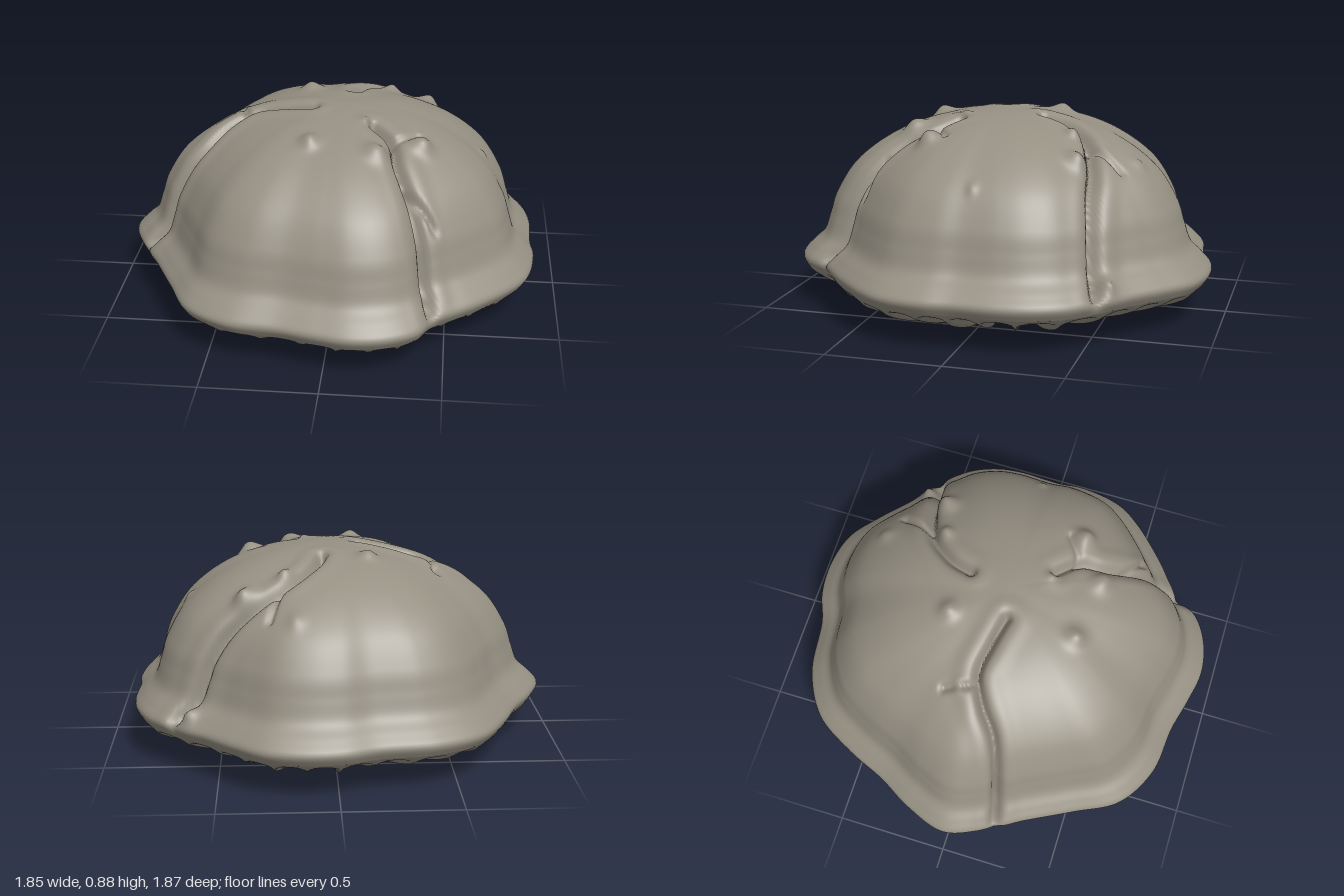
import * as THREE from 'three';

const SEG = 400, TAU = Math.PI * 2;
const smooth = THREE.MathUtils.smoothstep;
const gauss = (d, w) => Math.exp(-(d * d) / (w * w));

// Wavy rim outline as [x, z]
const OUTLINE = [
  [0.875, 0], [0.885, 0.13], [0.85, 0.32], [0.78, 0.43], [0.62, 0.59], [0.45, 0.73], [0.39, 0.83],
  [0.27, 0.9], [0.125, 0.925], [-0.02, 0.9], [-0.18, 0.86], [-0.4, 0.83], [-0.585, 0.72],
  [-0.69, 0.53], [-0.8, 0.32], [-0.87, 0.2], [-0.95, 0], [-0.89, -0.19], [-0.8, -0.35],
  [-0.72, -0.53], [-0.6, -0.72], [-0.41, -0.83], [-0.16, -0.87], [-0.02, -0.92], [0.14, -0.93],
  [0.3, -0.89], [0.43, -0.79], [0.56, -0.67], [0.68, -0.575], [0.8, -0.45], [0.86, -0.32], [0.88, -0.19],
];

// Cracks as [x, z] paths from the crown to the rim, with side branches
const CRACKS = [
  { path: [[-0.12, 0.04], [-0.25, 0.01], [-0.38, -0.01], [-0.5, 0.05], [-0.6, 0.13], [-0.72, 0.18], [-0.9, 0.22]], depth: 0.05, width: 0.019 },
  { path: [[0.05, -0.18], [0.09, -0.29], [0.19, -0.4], [0.35, -0.465], [0.5, -0.5], [0.7, -0.56]], depth: 0.05, width: 0.022 },
  { path: [[0.16, 0.18], [0.25, 0.27], [0.28, 0.38], [0.33, 0.48], [0.41, 0.62], [0.46, 0.76]], depth: 0.045, width: 0.019 },
  { path: [[-0.43, -0.02], [-0.47, -0.14]], depth: 0.025, width: 0.015 },
  { path: [[0.23, -0.44], [0.28, -0.57]], depth: 0.02, width: 0.015 },
  { path: [[0.25, 0.27], [0.36, 0.19]], depth: 0.02, width: 0.016 },
  { path: [[0.33, 0.48], [0.44, 0.53]], depth: 0.025, width: 0.015 },
].map((c) => ({
  ...c,
  main: c.path.length > 2,
  pts: new THREE.SplineCurve(c.path.map((p) => new THREE.Vector2(...p))).getPoints(c.path.length * 5),
}));

// Small warts as [x, z, radius, height]
const BUMPS = [
  [0.37, 0.25, 0.065, 0.045], [0.18, 0.38, 0.07, 0.035], [-0.1, 0.34, 0.06, 0.035], [-0.15, -0.21, 0.06, 0.03],
  [0.17, -0.62, 0.05, 0.015], [0.64, -0.02, 0.03, 0.01], [0.38, -0.39, 0.06, 0.04],
  [0.21, -0.34, 0.045, 0.025], [0.13, 0.17, 0.04, 0.02], [0.62, -0.58, 0.045, 0.03], [-0.45, -0.08, 0.035, 0.015],
];

// Radius of the outline at any angle
const rimPoints = new THREE.CatmullRomCurve3(OUTLINE.map(([x, z]) => new THREE.Vector3(x, 0, z)), true)
  .getPoints(600).slice(0, -1)
  .map((p) => ({ a: (Math.atan2(p.z, p.x) + TAU) % TAU, r: Math.hypot(p.x, p.z) }))
  .sort((p, q) => p.a - q.a);

function rimRadius(angle) {
  const a = ((angle % TAU) + TAU) % TAU;
  const n = rimPoints.length;
  let k = rimPoints.findIndex((p) => p.a > a);
  if (k < 0) k = n;
  const p = rimPoints[(k + n - 1) % n], q = rimPoints[k % n];
  const span = (q.a - p.a + TAU) % TAU || 1;
  return p.r + (q.r - p.r) * (((a - p.a + TAU) % TAU) / span);
}

// Closed surface of rings; place(row, angle) returns [x, y, z]
function ringSurface(rows, place) {
  const pos = [], index = [];
  for (let i = 0; i < rows; i++) {
    for (let j = 0; j < SEG; j++) {
      pos.push(...place(i, (j / SEG) * TAU));
      if (i === rows - 1) continue;
      const a = i * SEG + j, b = i * SEG + ((j + 1) % SEG);
      index.push(a, b, a + SEG, b, b + SEG, a + SEG);
    }
  }
  const g = new THREE.BufferGeometry();
  g.setAttribute('position', new THREE.Float32BufferAttribute(pos, 3));
  g.setIndex(index);
  g.computeVertexNormals();
  return g;
}

// Distance from a point to a crack path
function crackDistance(pts, x, z) {
  let best = Infinity;
  for (let k = 0; k < pts.length - 1; k++) {
    const p = pts[k], dx = pts[k + 1].x - p.x, dz = pts[k + 1].y - p.y;
    const t = THREE.MathUtils.clamp(((x - p.x) * dx + (z - p.y) * dz) / (dx * dx + dz * dz), 0, 1);
    best = Math.min(best, Math.hypot(x - p.x - t * dx, z - p.y - t * dz));
  }
  return best;
}

// Height of cracks, their lips and warts above the plain dome
function relief(x, z) {
  let h = 0;
  for (const c of CRACKS) {
    const d = crackDistance(c.pts, x, z);
    if (d > 0.3) continue;
    h -= c.depth * gauss(d, c.width);
    if (c.main) h += 0.01 * gauss(d - 0.06, 0.04) - 0.012 * gauss(d, 0.1);
  }
  for (const [bx, bz, r, height] of BUMPS) h += height * gauss(Math.hypot(x - bx, z - bz), r * 0.7);
  return h;
}

function domeGeometry() {
  // Profile: share of the rim radius, height
  const profile = new THREE.SplineCurve([
    [0, 0.903], [0.17, 0.893], [0.39, 0.848], [0.58, 0.77], [0.74, 0.655], [0.835, 0.52], [0.872, 0.42],
    [0.905, 0.335], [0.965, 0.28], [1.008, 0.232], [0.985, 0.185],
  ].map((p) => new THREE.Vector2(...p))).getSpacedPoints(115);
  const g = ringSurface(profile.length, (i, a) => {
    const r = profile[i].x * rimRadius(a);
    return [r * Math.cos(a), profile[i].y, r * Math.sin(a)];
  });
  const p = g.attributes.position, n = g.attributes.normal;
  for (let i = 0; i < p.count; i++) {
    const x = p.getX(i), y = p.getY(i), z = p.getZ(i);
    const h = relief(x, z) * smooth(y, 0.19, 0.3);
    p.setXYZ(i, x + n.getX(i) * h, y + n.getY(i) * h, z + n.getZ(i) * h);
  }
  g.computeVertexNormals();
  return g;
}

function gillGeometry() {
  // Underside profile: 1 at the rim, 0 at the central disc
  const profile = new THREE.SplineCurve([
    [1, 0.185], [0.93, 0.135], [0.75, 0.085], [0.5, 0.042], [0.25, 0.024], [0.08, 0.024], [0, 0.034],
  ].map((p) => new THREE.Vector2(...p))).getSpacedPoints(45);
  return ringSurface(profile.length, (i, angle) => {
    const { x: f, y } = profile[i];
    const a = angle + 0.05 * Math.sin(2 * angle + 1) * f * f;
    const r = 0.23 + (0.985 * rimRadius(a) - 0.23) * f;
    // Narrow crests with rounded valleys between them
    const valley = Math.pow(Math.abs(Math.sin(angle * 18 + 0.6 * Math.sin(angle * 5))), 0.75);
    const depth = 0.05 * smooth(1 - f, 0, 0.1) * (0.5 + 0.5 * smooth(f, 0, 0.3));
    return [r * Math.cos(a), y + depth * valley, r * Math.sin(a)];
  });
}

export function createModel() {
  const model = new THREE.Group();
  model.name = 'mushroomCap';
  const skin = new THREE.MeshStandardMaterial({ color: 0x969083 });
  skin.name = 'greyBrown';

  const add = (name, geometry) => {
    const mesh = new THREE.Mesh(geometry, skin);
    mesh.name = name;
    model.add(mesh);
    return mesh;
  };
  add('crackedDome', domeGeometry());
  add('gills', gillGeometry());
  // Flat disc where the gills meet
  const disc = add('centreDisc', new THREE.CircleGeometry(0.24, 48));
  disc.rotation.x = Math.PI / 2;
  disc.position.y = 0.047;
  return model;
}
